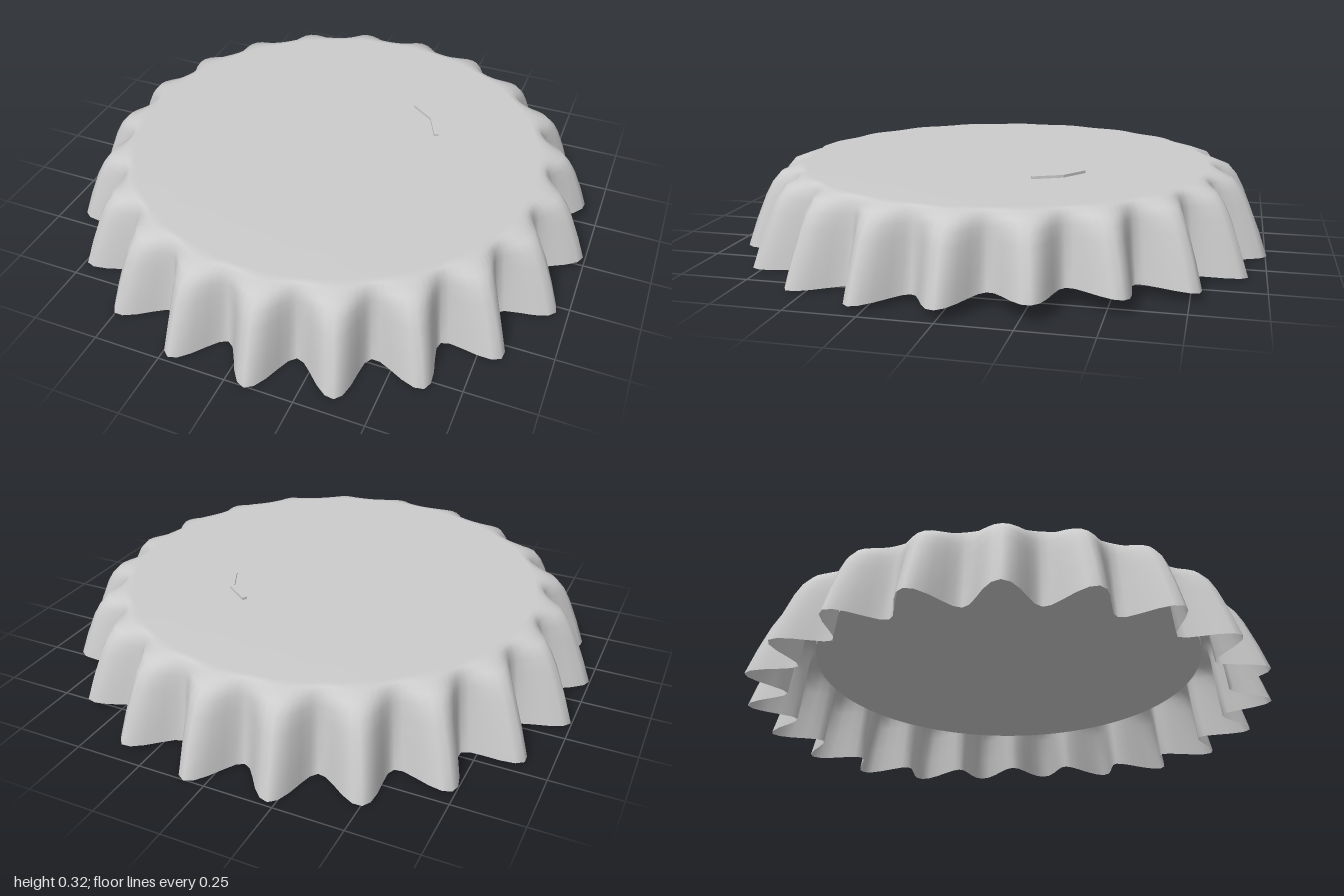
import * as THREE from 'three';

const CRIMPS = 21;
const STEPS = 10; // segments per crimp
const N = CRIMPS * STEPS;
const HEIGHT = 0.315;

// Rows from the top centre to the rim: [height, radius in a valley, radius on a crest]
const PROFILE = [
  [0.315, 0, 0],
  [0.315, 0.775, 0.775],
  [0.311, 0.795, 0.81],
  [0.29, 0.812, 0.87],
  [0.25, 0.818, 0.905],
  [0.2, 0.822, 0.932],
  [0.1, 0.832, 0.973],
  [0, 0.845, 1.008],
];

// One side of the rim is bent upwards, as left by an opener
function rimLift(theta) {
  let d = theta - 0.384;
  d = Math.atan2(Math.sin(d), Math.cos(d));
  return 0.063 * Math.exp(-((d / 0.576) ** 2));
}

function crimpedShell() {
  const positions = [];
  const indices = [];
  PROFILE.forEach(([y, valley, crest], row) => {
    for (let j = 0; j < N; j++) {
      const theta = (j / N) * Math.PI * 2;
      const wave = 0.5 + 0.5 * Math.cos(CRIMPS * theta);
      const lift = rimLift(theta) * (1 - y / HEIGHT);
      const r = valley + (crest - valley) * wave - lift * 0.35 * wave;
      positions.push(r * Math.cos(theta), y + lift, -r * Math.sin(theta));
      if (row === PROFILE.length - 1) continue;
      const a = row * N + j;
      const c = row * N + ((j + 1) % N);
      if (row > 0) indices.push(a, a + N, c);
      indices.push(c, a + N, c + N);
    }
  });
  const geometry = new THREE.BufferGeometry();
  geometry.setAttribute('position', new THREE.Float32BufferAttribute(positions, 3));
  geometry.setIndex(indices);
  geometry.computeVertexNormals();
  return geometry;
}

export function createModel() {
  const cap = new THREE.Group();
  cap.name = 'bottleCap';
  const metal = new THREE.MeshStandardMaterial({ color: 0xcccccc, side: THREE.DoubleSide });
  metal.name = 'paleGreyMetal';

  function add(name, geometry) {
    const mesh = new THREE.Mesh(geometry, metal);
    mesh.name = name;
    cap.add(mesh);
    return mesh;
  }

  // Flat top and crimped skirt
  add('crimpedShell', crimpedShell());

  // Sealing disc inside the cap
  const linerBottom = 0.19;
  const linerTop = 0.305;
  add('liner', new THREE.CylinderGeometry(0.757, 0.757, linerTop - linerBottom, 96))
    .position.y = (linerTop + linerBottom) / 2;

  // Thin bent ridge on the top, drawn in (x, -z)
  const outline = [[0.215, 0.342], [0.307, 0.277], [0.357, 0.172], [0.34, 0.165], [0.294, 0.264], [0.205, 0.327]];
  const shape = new THREE.Shape(outline.map(([x, y]) => new THREE.Vector2(x, y)));
  const ridge = add('topRidge', new THREE.ExtrudeGeometry(shape, { depth: 0.011, bevelEnabled: false }));
  ridge.rotation.x = -Math.PI / 2;
  ridge.position.y = HEIGHT - 0.001;

  return cap;
}
